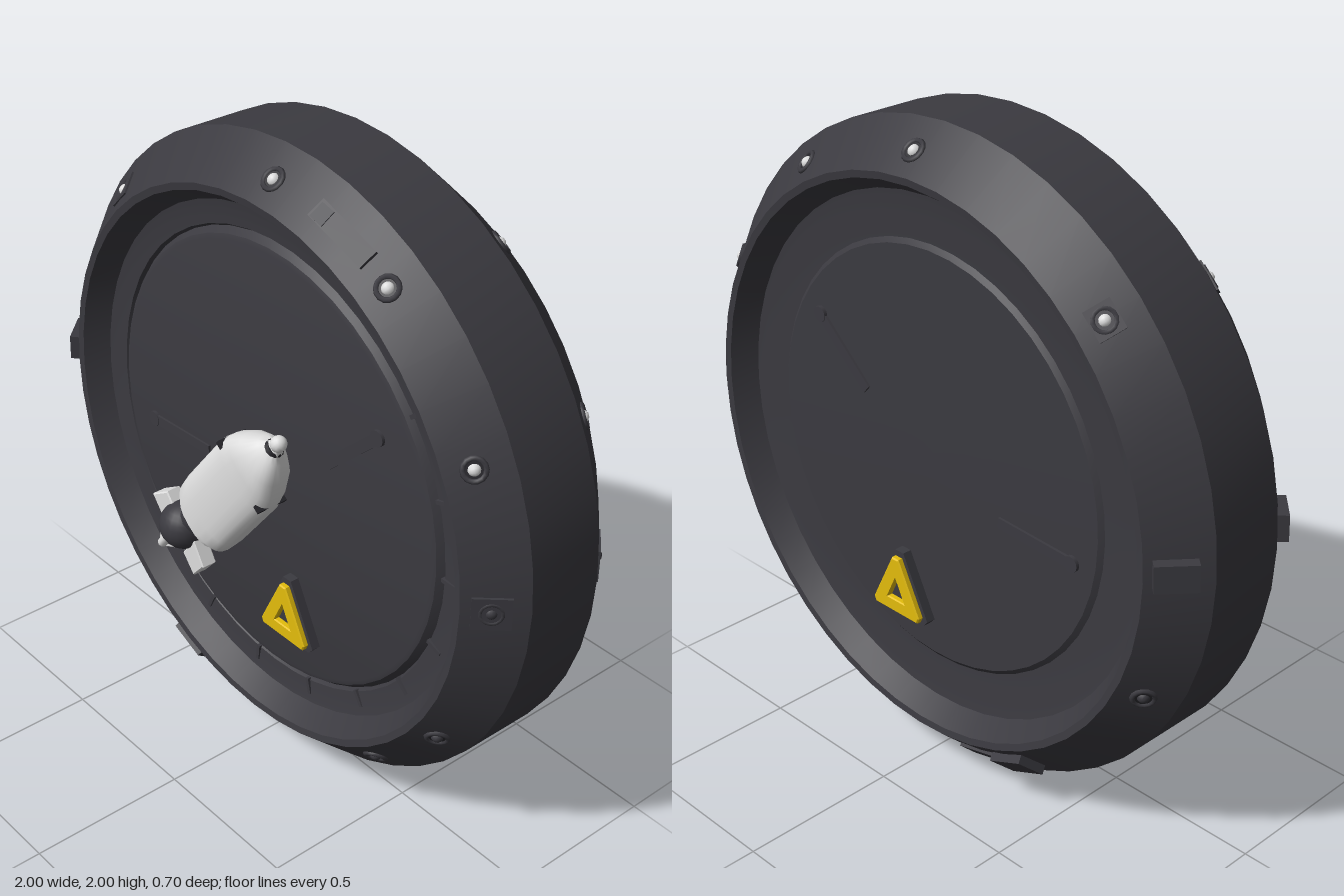
import * as THREE from 'three';
import { toCreasedNormals } from 'three/addons/utils/BufferGeometryUtils.js';

const paint = (name, color) => {
  const m = new THREE.MeshStandardMaterial({ color });
  m.name = name;
  return m;
};

export function createModel() {
  const dark = paint('charcoal', 0x3b3a40);
  const black = paint('near black', 0x26252a);
  const white = paint('light grey', 0xdedede);
  const yellow = paint('warning yellow', 0xe4bd0c);

  const model = new THREE.Group();
  model.name = 'wheelHatch';

  const add = (parent, name, geo, mat, x = 0, y = 0, z = 0) => {
    const mesh = new THREE.Mesh(geo, mat);
    mesh.name = name;
    mesh.position.set(x, y, z);
    parent.add(mesh);
    return mesh;
  };
  const polygon = (pts) => new THREE.Shape(pts.map(([x, y]) => new THREE.Vector2(x, y)));
  const extrude = (shape, depth, bevel = 0) => new THREE.ExtrudeGeometry(shape, {
    depth, bevelEnabled: bevel > 0, bevelSize: bevel, bevelThickness: bevel, bevelOffset: -bevel, bevelSegments: 1,
  });

  // Wheel: chamfered tyre with a recessed disc on each side, the back one smaller and flush
  const rim = [[1, 0.125], [0.872, 0.265], [0.85, 0.262], [0.805, 0.19]];
  const front = [...rim, [0.775, 0.184], [0.73, 0.18], [0.722, 0.168], [0.705, 0.19], [0.69, 0.195], [0.0001, 0.197]];
  const back = [...rim, [0.775, 0.186], [0.665, 0.182], [0.65, 0.194], [0.0001, 0.197]];
  const profile = [...back.map(([r, w]) => [r, -w]).reverse(), ...front].map(([r, w]) => new THREE.Vector2(r, w));
  const wheelGeo = new THREE.LatheGeometry(profile, 48);
  wheelGeo.rotateX(Math.PI / 2);
  const wheel = new THREE.Group();
  wheel.name = 'wheel';
  wheel.position.set(0, 1, -0.085);
  model.add(wheel);
  add(wheel, 'tyreAndDisc', toCreasedNormals(wheelGeo, 0.4), dark);

  // Details of one side; m = -1 gives the matching layout for the back
  const buildSide = (m) => {
    const side = new THREE.Group();
    side.name = m > 0 ? 'frontDetails' : 'backDetails';
    if (m < 0) side.rotation.y = Math.PI;
    wheel.add(side);

    // A group lying on the chamfer: x along the rim, y across it, z outward
    const onChamfer = (name, x, y) => {
      const a = Math.atan2(y, x * m);
      const n = new THREE.Vector3(0.733 * Math.cos(a), 0.733 * Math.sin(a), 0.681);
      const t = new THREE.Vector3(-Math.sin(a), Math.cos(a), 0);
      const u = new THREE.Vector3().crossVectors(n, t);
      const g = new THREE.Group();
      g.name = name;
      g.quaternion.setFromRotationMatrix(new THREE.Matrix4().makeBasis(t, u, n));
      g.position.set(0.928 * Math.cos(a), 0.928 * Math.sin(a), 0.203);
      side.add(g);
      return g;
    };

    // Bolts, some with a bright head
    const bolts = [
      [0.04, 0.93, 1], [0.5, 0.79, 1], [0.83, 0.4, 1], [-0.67, 0.66, 1],
      [0.93, 0, 0], [0.75, -0.54, 0], [0.5, -0.78, 0], [-0.84, -0.4, 0],
    ];
    for (const [x, y, bright] of bolts) {
      const bolt = onChamfer('bolt', x, y);
      add(bolt, 'boltCollar', new THREE.TorusGeometry(0.031, 0.008, 6, 14), dark);
      add(bolt, 'boltWell', new THREE.CircleGeometry(0.03, 14), black, 0, 0, 0.002);
      add(bolt, 'boltHead', new THREE.SphereGeometry(0.019, 10, 8), bright ? white : dark, 0, 0, -0.005);
    }

    // Raised pads, clips and covers
    const pads = [
      ['sideClip', -0.92, 0.03, 0.08, 0.12, 0.07], ['boltPad', 0.93, 0, 0.1, 0.11, 0.012],
      ['boltPad', -0.67, 0.66, 0.09, 0.08, 0.008],
      ['latchCover', -0.22, -0.9, 0.14, 0.07, 0.016], ['lowerClip', -0.37, -0.86, 0.13, 0.1, 0.05],
    ];
    if (m > 0) pads.push(['latchCover', 0.33, 0.9, 0.22, 0.06, 0.012], ['latchTab', 0.25, 0.92, 0.05, 0.05, 0.02]);
    for (const [name, x, y, w, h, d] of pads) {
      const pad = onChamfer(name, x, y);
      add(pad, name + 'Block', new THREE.BoxGeometry(w, h, d), dark);
    }

    // Two keyed bars on the disc: a thin strip with a knob at its outer end
    for (const [x0, y0, x1, y1] of [[-0.28, -0.085, -0.56, -0.1], [0.27, 0.14, 0.47, 0.32]]) {
      const dx = (x1 - x0) * m, dy = y1 - y0;
      const bar = add(side, 'discBar', new THREE.BoxGeometry(Math.hypot(dx, dy), 0.034, 0.012), dark,
        m * (x0 + x1) / 2, (y0 + y1) / 2, 0.197);
      bar.rotation.z = Math.atan2(dy, dx);
      const knob = add(side, 'discBarKnob', new THREE.CylinderGeometry(0.025, 0.025, 0.016, 12), dark, x1 * m, y1, 0.197);
      knob.rotation.x = Math.PI / 2;
    }

    // Warning triangle on a dark plate
    const sign = new THREE.Group();
    sign.name = 'warningSign';
    sign.position.set(0.117 * m, -0.453, 0.195);
    side.add(sign);
    const plate = polygon([[-0.1, -0.1], [0.1, -0.1], [0.118, -0.08], [0.018, 0.118], [-0.018, 0.118], [-0.118, -0.08]]);
    add(sign, 'signPlate', extrude(plate, 0.03), dark);
    const frame = polygon([[-0.092, -0.088], [0.092, -0.088], [0.1, -0.07], [0.014, 0.1], [-0.014, 0.1], [-0.1, -0.07]]);
    frame.holes.push(new THREE.Path([[-0.036, -0.044], [0, 0.03], [0.036, -0.044]].map(([x, y]) => new THREE.Vector2(x, y))));
    add(sign, 'signFrame', extrude(frame, 0.014, 0.004), yellow, 0, 0, 0.032);
  };
  buildSide(1);
  buildSide(-1);

  // Thin ribs crossing the front ledge beside the disc
  for (let i = 0; i < 9; i++) {
    const a = -2 + i * 0.33;
    add(wheel, 'ledgeRib', new THREE.BoxGeometry(0.055, 0.012, 0.012), dark,
      0.75 * Math.cos(a), 0.75 * Math.sin(a), 0.182).rotation.z = a;
  }

  // Rocket, lying diagonally in front of the disc
  const rocket = new THREE.Group();
  rocket.name = 'rocket';
  rocket.position.z = 0.263;
  model.add(rocket);
  const tilt = (51 - 90) * Math.PI / 180;
  const body = new THREE.Group();
  body.name = 'rocketBody';
  body.position.set(-0.094, 0.845, 0);
  body.rotation.z = tilt;
  rocket.add(body);
  const hull = [
    [0.0001, -0.03], [0.098, -0.03], [0.12, -0.01], [0.125, 0.05], [0.125, 0.31], [0.112, 0.365],
    [0.085, 0.42], [0.048, 0.475], [0.028, 0.49], [0.021, 0.505],
  ].map(([r, s]) => new THREE.Vector2(r, s));
  const hullGeo = new THREE.LatheGeometry(hull, 24);
  // Flatten the round hull into a soft-cornered slab that keeps a full nose
  const pos = hullGeo.attributes.position;
  const soften = (v) => Math.sign(v) * Math.abs(v) ** 0.75;
  for (let i = 0; i < pos.count; i++) {
    const x = pos.getX(i), z = pos.getZ(i), r = Math.hypot(x, z);
    pos.setX(i, r * soften(x / r));
    pos.setZ(i, Math.min(0.064, 0.8 * r) * soften(z / r));
  }
  add(body, 'rocketHull', toCreasedNormals(hullGeo, 0.7), white);
  add(body, 'noseCollar', new THREE.CylinderGeometry(0.024, 0.03, 0.01, 12), black, 0, 0.494);
  add(body, 'noseKnob', new THREE.SphereGeometry(0.025, 12, 10), white, 0, 0.518);
  for (const x of [-0.106, 0.106]) add(body, 'hullNotch', new THREE.BoxGeometry(0.024, 0.014, 0.1), black, x, 0.325);
  add(body, 'neck', new THREE.CylinderGeometry(0.05, 0.04, 0.1, 12), white, -0.023, -0.077);
  add(body, 'neckCollar', new THREE.CylinderGeometry(0.056, 0.056, 0.02, 12), dark, -0.018, -0.06);
  add(rocket, 'engineBall', new THREE.SphereGeometry(0.076, 20, 14), dark, -0.215, 0.747, 0.006);

  // Fins and tail
  const fins = [
    ['leftFin', [[-0.29, 0.73], [-0.22, 0.78], [-0.27, 0.845], [-0.345, 0.8]]],
    ['rightFin', [[-0.15, 0.6], [-0.1, 0.655], [-0.145, 0.73], [-0.2, 0.66]]],
    ['tailFin', [[-0.325, 0.615], [-0.235, 0.655], [-0.25, 0.73], [-0.31, 0.715]]],
  ];
  for (const [name, pts] of fins) add(rocket, name, extrude(polygon(pts), 0.044, 0.004), white, 0, 0, -0.022);
  for (const z of [-0.04, 0.04]) {
    add(rocket, 'tailProng', new THREE.CapsuleGeometry(0.016, 0.05, 4, 8), white, -0.266, 0.68, z).rotation.z = tilt;
  }

  return model;
}
